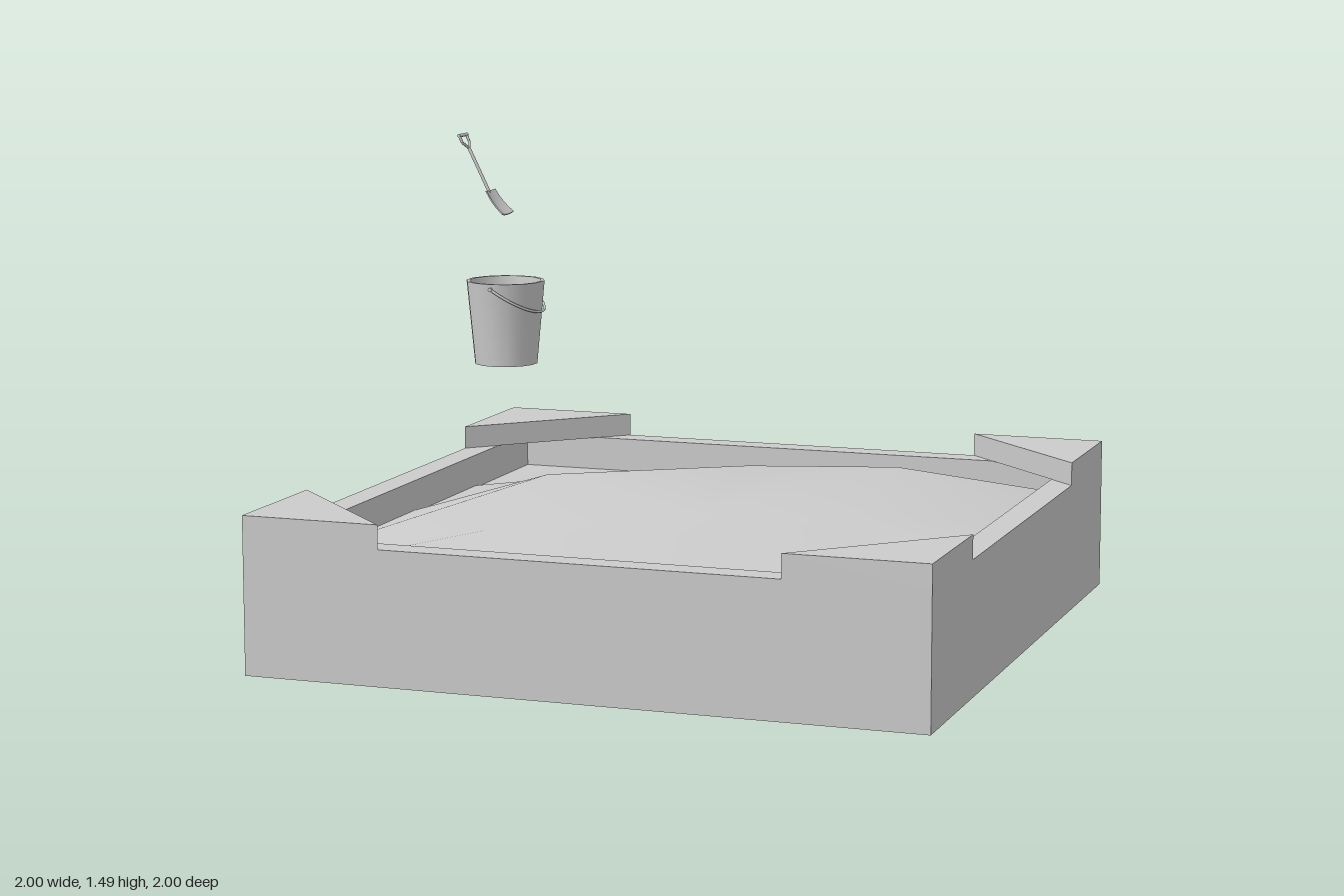
import * as THREE from 'three';
import { toCreasedNormals } from 'three/addons/utils/BufferGeometryUtils.js';

const grey = new THREE.MeshStandardMaterial({ color: 0xcccccc });
const thin = new THREE.MeshStandardMaterial({ color: 0xcccccc, side: THREE.DoubleSide });

function add(parent, name, geometry, material = grey) {
  const mesh = new THREE.Mesh(geometry, material);
  mesh.name = name;
  parent.add(mesh);
  return mesh;
}

// Extrudes a floor-plan outline (x, -z) upward from y0 to y1
function slab(shape, y0, y1) {
  const g = new THREE.ExtrudeGeometry(shape, { depth: y1 - y0, bevelEnabled: false });
  return g.rotateX(-Math.PI / 2).translate(0, y0, 0);
}

const square = (h) => [[-h, -h], [h, -h], [h, h], [-h, h]].map(([x, y]) => new THREE.Vector2(x, y));

// Thin round bar between two points
function rod(parent, name, a, b, r) {
  const from = new THREE.Vector3(...a), to = new THREE.Vector3(...b);
  const dir = to.clone().sub(from);
  const mesh = add(parent, name, new THREE.CylinderGeometry(r, r, dir.length(), 8));
  mesh.position.copy(from).add(to).multiplyScalar(0.5);
  mesh.quaternion.setFromUnitVectors(new THREE.Vector3(0, 1, 0), dir.normalize());
}

function createSandbox() {
  const box = new THREE.Group();
  box.name = 'sandbox';

  // Four walls, open above and below
  const frame = new THREE.Shape(square(1));
  frame.holes.push(new THREE.Path(square(0.918).reverse()));
  add(box, 'walls', slab(frame, 0, 0.39));

  // Triangular seat on each corner
  const corner = new THREE.Shape([[1, 1], [0.585, 1], [1, 0.585]].map(([x, y]) => new THREE.Vector2(x, y)));
  for (let i = 0; i < 4; i++) {
    add(box, 'cornerSeat', slab(corner, 0.39, 0.46)).rotation.y = i * Math.PI / 2;
  }

  // Uneven sand: rows run from back to front
  const heights = [
    [0.285, 0.285, 0.285, 0.285, 0.285],
    [0.285, 0.355, 0.41, 0.434, 0.285],
    [0.285, 0.436, 0.35, 0.355, 0.285],
    [0.285, 0.355, 0.357, 0.29, 0.285],
    [0.285, 0.285, 0.285, 0.285, 0.285],
  ].flat();
  const sand = new THREE.PlaneGeometry(1.92, 1.92, 4, 4).rotateX(-Math.PI / 2);
  heights.forEach((y, i) => sand.attributes.position.setY(i, y));
  sand.computeVertexNormals();
  add(box, 'sand', sand, thin);
  return box;
}

function createBucket() {
  const bucket = new THREE.Group();
  bucket.name = 'bucket';
  const profile = [[0, 0], [0.092, 0], [0.115, 0.243], [0.105, 0.243], [0.084, 0.01], [0, 0.01]]
    .map(([x, y]) => new THREE.Vector2(x, y));
  add(bucket, 'pail', toCreasedNormals(new THREE.LatheGeometry(profile, 14), Math.PI / 4));

  // Handle hanging forward from two side pivots
  const points = [];
  for (let i = 0; i <= 12; i++) {
    const a = -Math.PI / 2 + (i / 12) * Math.PI;
    const s = Math.cos(a);
    points.push(new THREE.Vector3(0.112 * s, 0.228 - 0.072 * s, 0.116 * Math.sin(a)));
  }
  add(bucket, 'handle', new THREE.TubeGeometry(new THREE.CatmullRomCurve3(points), 24, 0.004, 6), thin);
  for (const s of [-1, 1]) {
    const pivot = add(bucket, 'handlePivot', new THREE.CylinderGeometry(0.006, 0.006, 0.012, 8));
    pivot.rotation.x = Math.PI / 2;
    pivot.position.set(0, 0.228, s * 0.115);
  }
  bucket.position.set(-0.485, 0.82, 0.305);
  return bucket;
}

function createShovel() {
  const shovel = new THREE.Group();
  shovel.name = 'shovel';

  // Grip with two splayed arms
  const top = [-0.613, 1.482], bend = [-0.604, 1.462], neck = [-0.594, 1.445];
  rod(shovel, 'grip', [...top, -0.03], [...top, 0.03], 0.005);
  for (const s of [-1, 1]) {
    rod(shovel, 'gripArm', [...top, s * 0.027], [...bend, s * 0.025], 0.004);
    rod(shovel, 'gripArm', [...bend, s * 0.025], [...neck, 0], 0.004);
  }
  rod(shovel, 'shaft', [...neck, 0], [-0.53, 1.316, 0], 0.005);

  // Blade follows a gentle curve, widens to its tip and is slightly dished
  const curve = new THREE.QuadraticBezierCurve(
    new THREE.Vector2(-0.533, 1.322), new THREE.Vector2(-0.512, 1.283), new THREE.Vector2(-0.477, 1.255));
  const blade = new THREE.BoxGeometry(1, 1, 1, 4, 4, 1);
  const p = blade.attributes.position;
  for (let i = 0; i < p.count; i++) {
    const u = p.getX(i), t = 0.5 - p.getY(i), w = p.getZ(i);
    const c = curve.getPoint(t), d = curve.getTangent(t);
    const lift = w * 0.004 + u * u * 0.024;
    p.setXYZ(i, c.x - d.y * lift, c.y + d.x * lift, -u * (0.066 + 0.016 * t));
  }
  blade.computeVertexNormals();
  add(shovel, 'blade', blade, thin);
  shovel.position.z = 0.31;
  return shovel;
}

export function createModel() {
  const model = new THREE.Group();
  model.name = 'sandboxWithToys';
  model.add(createSandbox(), createBucket(), createShovel());
  return model;
}
